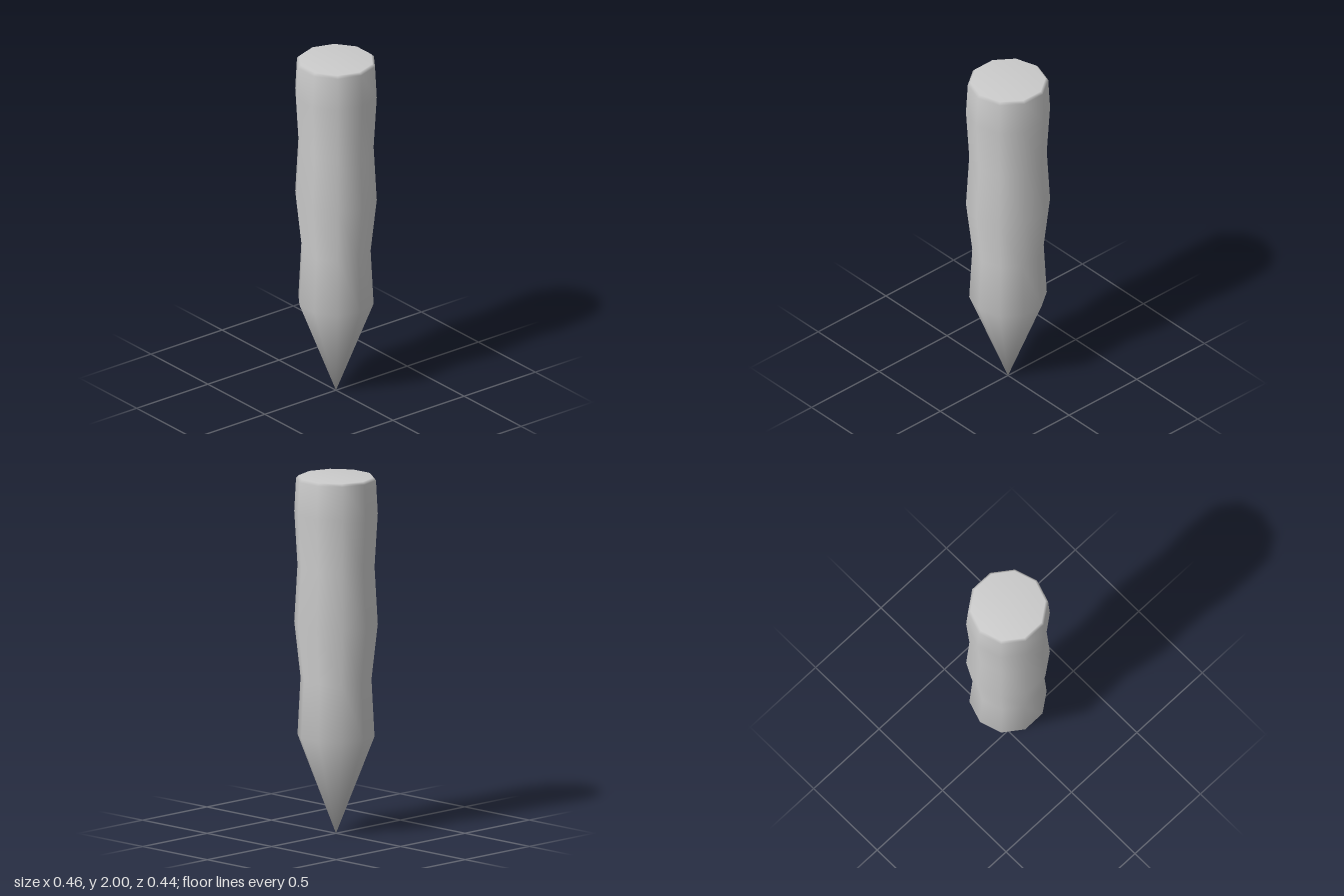
import * as THREE from 'three';
import { mergeVertices } from 'three/addons/utils/BufferGeometryUtils.js';

// Closed ten-sided turned solid with shared vertices, so the shading is smooth
function turnedSolid(profile, sides) {
  const points = profile.map(([r, y]) => new THREE.Vector2(r, y));
  const lathe = new THREE.LatheGeometry(points, sides, Math.PI / 2);
  lathe.deleteAttribute('normal');
  lathe.deleteAttribute('uv');
  const geometry = mergeVertices(lathe, 1e-4);
  geometry.computeVertexNormals();
  return geometry;
}

export function createModel() {
  const group = new THREE.Group();
  group.name = 'woodenStake';

  // [radius, height] from the sharpened tip to the flat top
  const profile = [
    [0, 0],
    [0.214, 0.55], // end of the point
    [0.197, 0.87],
    [0.232, 1.18],
    [0.214, 1.5],
    [0.232, 1.8],
    [0.222, 1.985], // bevelled rim
    [0.207, 2],
    [0, 2],
  ];

  const stake = new THREE.Mesh(
    turnedSolid(profile, 10),
    new THREE.MeshStandardMaterial({ color: 0xcccccc })
  );
  stake.name = 'stake';
  group.add(stake);
  return group;
}
